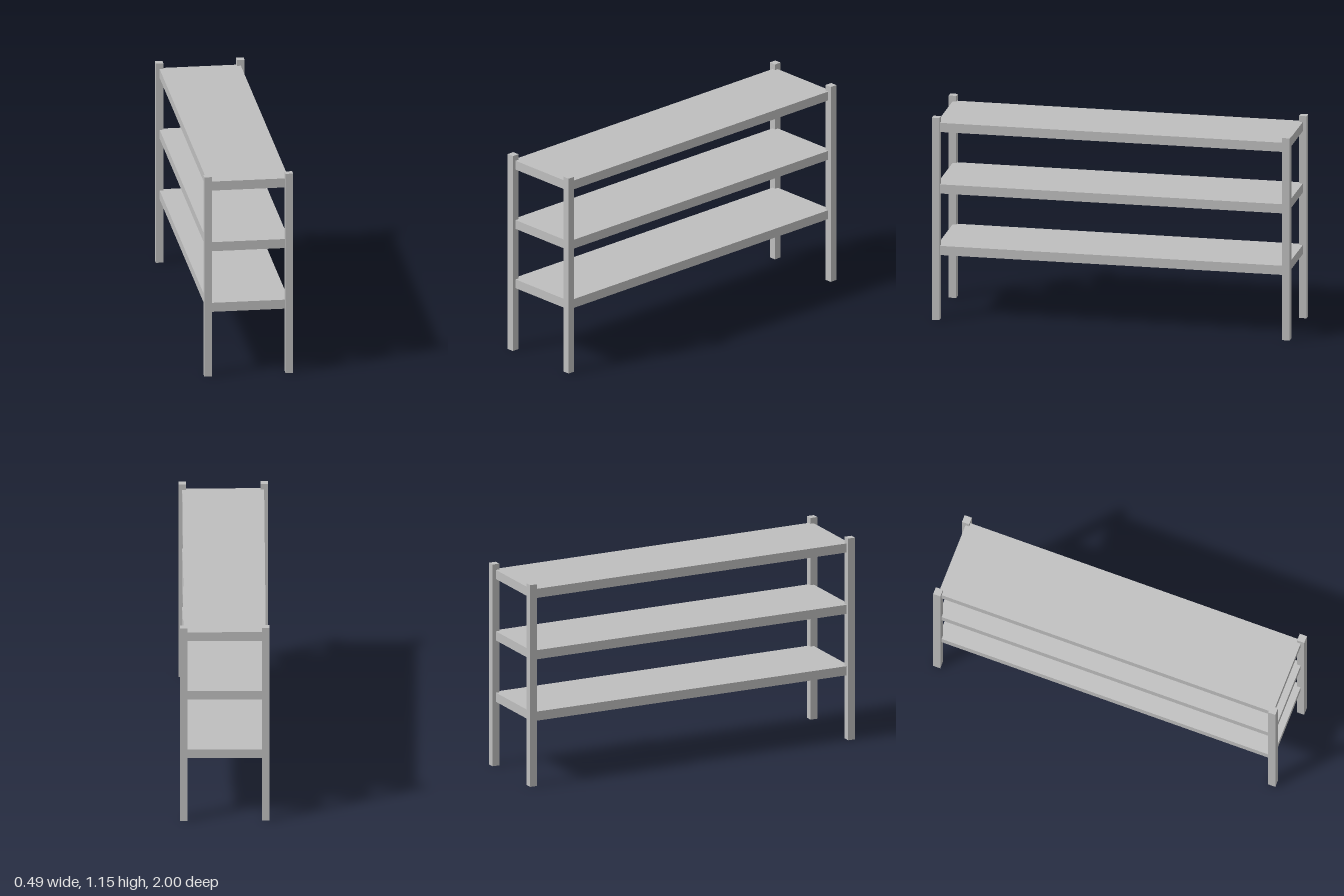
import * as THREE from 'three';

export function createModel() {
  const group = new THREE.Group();
  group.name = 'shelfUnit';
  const grey = new THREE.MeshStandardMaterial({ color: 0xbfbfbf });
  grey.name = 'light grey';

  const addBox = (name, size, position) => {
    const mesh = new THREE.Mesh(new THREE.BoxGeometry(...size), grey);
    mesh.name = name;
    mesh.position.set(...position);
    group.add(mesh);
  };

  // Four square corner posts
  const post = 0.042, height = 1.15, halfWidth = 0.245, halfLength = 1;
  for (const [sideName, sx] of [['Left', 1], ['Right', -1]]) {
    for (const [endName, sz] of [['front', 1], ['back', -1]]) {
      addBox(`${endName}${sideName}Post`, [post, height, post],
        [sx * (halfWidth - post / 2), height / 2, sz * (halfLength - post / 2)]);
    }
  }

  // Three evenly spaced boards, let halfway into the posts
  const shelfNames = ['lowerShelf', 'middleShelf', 'upperShelf'];
  shelfNames.forEach((name, i) => {
    addBox(name, [2 * halfWidth - post, 0.052, 2 * halfLength - post],
      [0, 0.391 + 0.35 * i, 0]);
  });

  return group;
}
